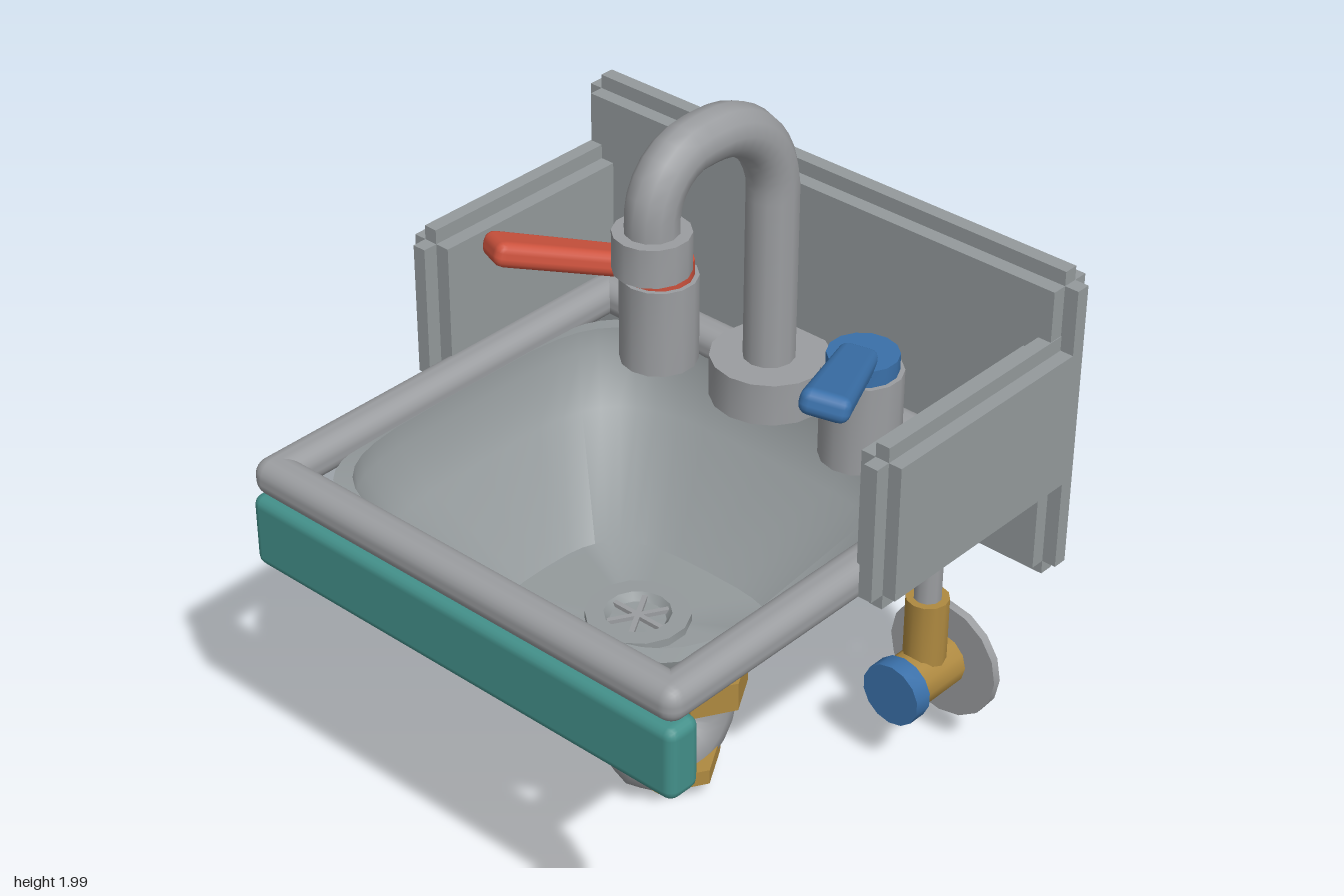
import * as THREE from 'three';
import { toCreasedNormals } from 'three/addons/utils/BufferGeometryUtils.js';
import { RoundedBoxGeometry } from 'three/addons/geometries/RoundedBoxGeometry.js';

const material = (name, color, side = THREE.FrontSide) => {
  const m = new THREE.MeshStandardMaterial({ color, side });
  m.name = name;
  return m;
};
const V = (x, y, z) => new THREE.Vector3(x, y, z);

export function createModel() {
  const steel = material('steel', 0x9b9da0);
  const sheet = material('sheetSteel', 0x949a9c);
  const bowl = material('bowlSteel', 0x949a9c, THREE.DoubleSide);
  const brass = material('brass', 0xae8940);
  const teal = material('teal', 0x43908a);
  const red = material('hotRed', 0xcc523d);
  const blue = material('coldBlue', 0x3a70a9);

  const model = new THREE.Group();
  model.name = 'sink';

  const add = (name, geometry, mat, x = 0, y = 0, z = 0, parent = model) => {
    const mesh = new THREE.Mesh(geometry, mat);
    mesh.name = name;
    mesh.position.set(x, y, z);
    parent.add(mesh);
    return mesh;
  };
  const spanBox = (name, mat, [x0, x1], [y0, y1], [z0, z1], parent) =>
    add(name, new THREE.BoxGeometry(x1 - x0, y1 - y0, z1 - z0), mat,
      (x0 + x1) / 2, (y0 + y1) / 2, (z0 + z1) / 2, parent);
  // upright cylinder between two heights
  const post = (name, mat, r, y0, y1, x, z, sides = 14) =>
    add(name, toCreasedNormals(new THREE.CylinderGeometry(r, r, y1 - y0, sides), sides < 8 ? 0.1 : 0.7),
      mat, x, (y0 + y1) / 2, z);
  // cylinder lying along z
  const axle = (name, mat, r, z0, z1, x, y, sides = 14) => {
    const g = new THREE.CylinderGeometry(r, r, z1 - z0, sides).rotateX(Math.PI / 2);
    return add(name, toCreasedNormals(g, sides < 8 ? 0.1 : 0.7), mat, x, y, (z0 + z1) / 2);
  };
  // pipe in the x = 0 plane: straight runs [z, y] joined by round bends
  const pipe = (name, mat, r, points, bends) => {
    const path = new THREE.CurvePath();
    const at = points.map(([z, y]) => V(0, y, z));
    let from = at[0];
    for (let i = 1; i < at.length - 1; i++) {
      const a = at[i].clone().add(at[i - 1].clone().sub(at[i]).setLength(bends[i - 1]));
      const b = at[i].clone().add(at[i + 1].clone().sub(at[i]).setLength(bends[i - 1]));
      if (from.distanceTo(a) > 0.001) path.add(new THREE.LineCurve3(from, a));
      const k = 0.5523;
      path.add(new THREE.CubicBezierCurve3(a, a.clone().lerp(at[i], k), b.clone().lerp(at[i], k), b));
      from = b;
    }
    path.add(new THREE.LineCurve3(from, at[at.length - 1]));
    add(name, new THREE.TubeGeometry(path, 36, r, 12), mat);
    // end caps
    for (const t of [0, 1]) {
      const cap = add(name + 'End', new THREE.CircleGeometry(r, 12), mat);
      const p = path.getPoint(t);
      cap.position.copy(p);
      cap.lookAt(p.clone().addScaledVector(path.getTangent(t), t ? 1 : -1));
    }
  };

  // Back panel: three slabs giving a stepped edge
  const back = new THREE.Group();
  back.name = 'backPanel';
  model.add(back);
  spanBox('backSlab', sheet, [-0.77, 0.77], [0.8, 1.62], [-0.715, -0.59], back);
  spanBox('backSideSteps', sheet, [-0.81, 0.81], [0.8, 1.62], [-0.673, -0.632], back);
  spanBox('backTopSteps', sheet, [-0.77, 0.77], [0.76, 1.66], [-0.673, -0.632], back);

  // Side panels with the same stepped edge
  for (const s of [-1, 1]) {
    const side = new THREE.Group();
    side.name = s > 0 ? 'leftPanel' : 'rightPanel';
    model.add(side);
    const xr = (a, b) => (s > 0 ? [a, b] : [-b, -a]);
    spanBox('sideSlab', sheet, xr(0.69, 0.81), [1.055, 1.437], [-0.632, 0.037], side);
    spanBox('sideTopSteps', sheet, xr(0.732, 0.772), [1.013, 1.478], [-0.632, 0.037], side);
    spanBox('sideFrontStep', sheet, xr(0.732, 0.772), [1.055, 1.437], [-0.632, 0.08], side);
  }

  // Rounded rim frame and front apron
  const bar = (w, d) => new RoundedBoxGeometry(w, 0.104, d, 3, 0.045);
  add('frontRim', bar(1.44, 0.104), steel, 0, 1.064, 0.678);
  add('backRim', bar(1.44, 0.104), steel, 0, 1.064, -0.545);
  for (const s of [-1, 1]) add('sideRim', bar(0.104, 1.32), steel, s * 0.668, 1.064, 0.068);
  add('apron', new RoundedBoxGeometry(1.44, 0.212, 0.104, 2, 0.03), teal, 0, 0.903, 0.68);

  // Basin lofted from rounded-square loops: [halfX, halfZ, y, squareness]
  const loops = [
    [0.632, 0.586, 1.055, 6], [0.615, 0.566, 1.06, 4.6], [0.61, 0.563, 1.0, 4.6],
    [0.552, 0.51, 0.86, 4], [0.335, 0.276, 0.613, 3.2], [0.01, 0.01, 0.611, 2],
  ];
  const N = 40, pos = [], idx = [];
  loops.forEach(([hx, hz, y, n], j) => {
    for (let i = 0; i < N; i++) {
      const a = (i / N) * Math.PI * 2, c = Math.cos(a), s = Math.sin(a);
      pos.push(Math.sign(c) * hx * Math.abs(c) ** (2 / n), y,
        0.065 + Math.sign(s) * hz * Math.abs(s) ** (2 / n));
      if (j) {
        const p = (j - 1) * N, q = j * N, k = (i + 1) % N;
        idx.push(p + i, q + i, p + k, p + k, q + i, q + k);
      }
    }
  });
  const basin = new THREE.BufferGeometry();
  basin.setAttribute('position', new THREE.Float32BufferAttribute(pos, 3));
  basin.setIndex(idx);
  basin.computeVertexNormals();
  add('basin', toCreasedNormals(basin, 0.75), bowl);

  // Drain ring with crossed bars
  const ring = [[0.14, 0.61], [0.14, 0.635], [0.09, 0.635], [0.075, 0.613]].map(p => new THREE.Vector2(...p));
  add('drainRing', toCreasedNormals(new THREE.LatheGeometry(ring, 14), 0.6), bowl, 0, 0, 0.065);
  for (let i = 0; i < 3; i++) {
    add('drainBar', new THREE.BoxGeometry(0.17, 0.012, 0.014), steel, 0, 0.622, 0.065).rotation.y = i * Math.PI / 3;
  }

  // Faucet
  post('faucetBase', steel, 0.16, 1.07, 1.19, 0, -0.445, 16);
  pipe('spout', steel, 0.07, [[-0.44, 1.1], [-0.44, 1.93], [0.01, 1.93], [0.01, 1.68]], [0.25, 0.15]);
  post('spoutTip', steel, 0.1, 1.645, 1.75, 0, 0.01);

  // Handles: body, coloured cap and flared lever
  for (const s of [-1, 1]) {
    const paint = s < 0 ? red : blue;
    post('handleBody', steel, 0.107, 1.06, 1.315, s * 0.345, -0.395);
    post('handleCap', paint, 0.094, 1.315, 1.362, s * 0.345, -0.395);
    const g = new RoundedBoxGeometry(0.13, 0.07, 0.48, 2, 0.028);
    const p = g.attributes.position;
    for (let i = 0; i < p.count; i++) p.setX(i, p.getX(i) * (0.9 + p.getZ(i) * 0.45));
    add('lever', g, paint, s * 0.447, 1.419, -0.183).rotation.set(-0.325, s * 0.472, 0);
  }

  // Drain trap with brass nuts
  pipe('trapPipe', steel, 0.1,
    [[0.065, 0.61], [0.065, 0.105], [-0.185, 0.105], [-0.185, 0.505], [-0.735, 0.505]],
    [0.125, 0.125, 0.18]);
  const nut = (name, r, y0, y1, z) => { post(name, brass, r, y0, y1, 0, z, 6).rotation.y = Math.PI / 6; };
  nut('upperNut', 0.135, 0.375, 0.465, 0.065);
  nut('lowerNut', 0.135, 0.235, 0.325, -0.185);
  nut('cleanoutNut', 0.145, 0.062, 0.108, -0.06);
  axle('wallNut', brass, 0.137, -0.62, -0.53, 0, 0.505, 6).rotation.z = Math.PI / 6;
  axle('drainFlange', steel, 0.215, -0.71, -0.685, 0, 0.505, 16);

  // Supply valves
  for (const s of [-1, 1]) {
    const x = s * 0.435;
    post('supplyPipe', steel, 0.039, 0.5, 1.05, x, -0.603, 10);
    post('valveStem', brass, 0.06, 0.285, 0.537, x, -0.603, 12);
    axle('valveBody', brass, 0.079, -0.69, -0.51, x, 0.287, 12);
    axle('valveKnob', s < 0 ? red : blue, 0.093, -0.515, -0.46, x, 0.285);
    axle('valveFlange', steel, 0.178, -0.71, -0.685, x, 0.285, 16);
  }
  return model;
}
